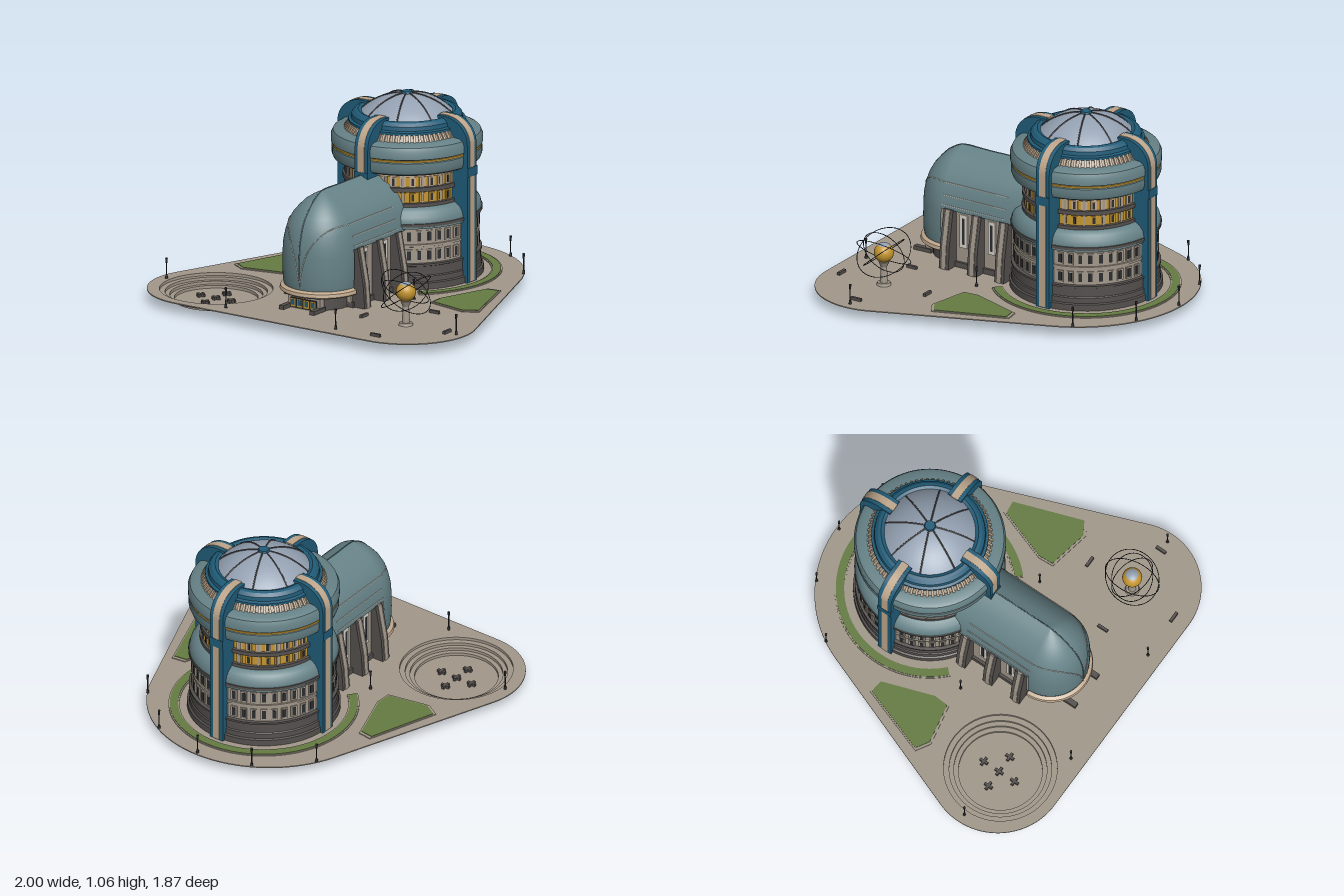
import * as THREE from 'three';
import { mergeGeometries, toCreasedNormals } from 'three/addons/utils/BufferGeometryUtils.js';

const mat = (name, color) => Object.assign(new THREE.MeshStandardMaterial({ color, side: THREE.DoubleSide }), { name });

export function createModel() {
  const stone = mat('stone', 0xa2988b), dark = mat('darkStone', 0x54504e), pale = mat('paleTrim', 0xd8d3c9);
  const teal = mat('tealCladding', 0x668287), blue = mat('blueMetal', 0x205c78), tan = mat('tanTrim', 0xbfa78c);
  const glassDome = mat('domeGlass', 0x94a1b2), gold = mat('gold', 0xc4952f), grass = mat('grass', 0x657b42);
  const iron = mat('iron', 0x2b2d31);
  const G = 0.065, TZ = -0.325, root = new THREE.Group();

  // Helpers
  const add = (name, geo, m, parent = root) => {
    const mesh = new THREE.Mesh(Array.isArray(geo) ? mergeGeometries(geo) : geo, m);
    mesh.name = name;
    parent.add(mesh);
    return mesh;
  };
  const box = (w, h, d, x = 0, y = 0, z = 0) => new THREE.BoxGeometry(w, h, d).translate(x, y, z);
  const cyl = (r0, r1, y0, y1, x = 0, z = 0, n = 16) =>
    new THREE.CylinderGeometry(r1, r0, y1 - y0, n).translate(x, (y0 + y1) / 2, z);
  const vec2 = (pts) => pts.map((p) => new THREE.Vector2(...p));
  const lathe = (pts, n = 72, start = 0, len = Math.PI * 2) =>
    toCreasedNormals(new THREE.LatheGeometry(vec2(pts), n, start, len), 0.5);
  const plate = (shape, top, depth) => new THREE.ExtrudeGeometry(shape, { depth, bevelEnabled: false, curveSegments: 32 })
    .rotateX(Math.PI / 2).translate(0, top, 0);
  const around = (n, make) => Array.from({ length: n }, (_, i) => make().rotateY(((i + 0.5) / n) * Math.PI * 2));
  const mirror = (make) => [make(1), make(-1)];

  // Plaza: rounded triangle with an opening for the bowl
  const plaza = new THREE.Shape(), tangent = 0.365;
  plaza.absarc(0, -0.275, 0.66, Math.PI + tangent, -tangent, false);
  plaza.absarc(0.63, 0.56, 0.37, -tangent, Math.PI / 2, false);
  plaza.absarc(-0.63, 0.56, 0.37, Math.PI / 2, Math.PI + tangent, false);
  plaza.holes.push(new THREE.Path().absarc(-0.62, 0.57, 0.305, 0, Math.PI * 2, true));
  add('plaza', plate(plaza, G, 0.006), stone);

  // Sunken stepped bowl with small cross-shaped seats
  const steps = [[0, 0.001]];
  [0.225, 0.25, 0.275, 0.305].forEach((r, i) => steps.push([r, 0.001 + i * 0.016], [r, 0.001 + (i + 1) * 0.016]));
  add('sunkenBowl', lathe(steps, 64).translate(-0.62, 0, 0.57), stone);
  const seats = [];
  for (const [dx, dz] of [[0, 0], [0.1, 0], [-0.1, 0], [0, 0.1], [0, -0.1]])
    seats.push(box(0.05, 0.016, 0.014, dx - 0.625, 0.01, dz + 0.565), box(0.014, 0.016, 0.05, dx - 0.625, 0.01, dz + 0.565));
  add('bowlSeats', seats, dark);

  // Lawns: a crescent around the tower and two side beds, each with a curb
  const crescent = (r0, r1, a) => {
    const s = new THREE.Shape();
    s.absarc(0, TZ, r1, Math.PI - a, Math.PI * 2 + a, false);
    s.absarc(0, TZ, r0, Math.PI * 2 + a, Math.PI - a, true);
    return s;
  };
  add('crescentCurb', plate(crescent(0.453, 0.512, 0.83), G + 0.005, 0.005), stone);
  add('crescentLawn', plate(crescent(0.46, 0.505, 0.82), G + 0.008, 0.006), grass);
  const bed = [[0.66, -0.25], [0.585, -0.24], [0.485, 0.05], [0.49, 0.135], [0.72, 0.18], [0.795, 0.135]];
  const bedShape = (s, k) => new THREE.Shape(vec2(bed.map(([x, z]) => [s * (0.63 + (x - 0.63) * k), z * k])));
  add('bedCurbs', mirror((s) => plate(bedShape(s, 1.05), G + 0.005, 0.005)), stone);
  add('bedLawns', mirror((s) => plate(bedShape(s, 0.98), G + 0.008, 0.006)), grass);

  // Tower shell, stacked as lathed bands
  const tower = new THREE.Group();
  tower.name = 'tower';
  tower.position.z = TZ;
  root.add(tower);
  add('towerBase', lathe([[0.412, G - 0.008], [0.412, 0.1], [0.402, 0.105], [0.402, 0.135], [0.396, 0.14], [0.396, 0.19], [0.403, 0.193],
    [0.403, 0.204], [0.38, 0.206]]), dark, tower);
  add('lowerWall', lathe([[0.384, 0.2], [0.384, 0.296], [0.39, 0.298], [0.39, 0.31], [0.384, 0.312], [0.384, 0.41]]), stone, tower);
  add('shoulder', lathe([[0.38, 0.395], [0.4, 0.4], [0.402, 0.43], [0.395, 0.462], [0.378, 0.488], [0.352, 0.506], [0.325, 0.51]]), teal, tower);
  add('shoulderBand', lathe([[0.4, 0.41], [0.406, 0.412], [0.406, 0.428], [0.4, 0.43]]), dark, tower);
  add('upperWall', lathe([[0.328, 0.5], [0.328, 0.7]]), gold, tower);
  add('upperBands', [lathe([[0.33, 0.505], [0.345, 0.507], [0.345, 0.526], [0.33, 0.528]]),
    lathe([[0.33, 0.588], [0.345, 0.59], [0.345, 0.614], [0.33, 0.616]])], dark, tower);
  add('upperLintel', lathe([[0.33, 0.672], [0.338, 0.673], [0.338, 0.69]]), tan, tower);
  add('overhang', lathe([[0.325, 0.688], [0.37, 0.69], [0.395, 0.703], [0.404, 0.725], [0.404, 0.765], [0.396, 0.77], [0.396, 0.782],
    [0.408, 0.787], [0.408, 0.825], [0.397, 0.85], [0.375, 0.862], [0.33, 0.865]]), teal, tower);
  add('overhangGoldLine', lathe([[0.396, 0.77], [0.403, 0.771], [0.403, 0.78], [0.396, 0.781]]), gold, tower);
  add('clerestory', lathe([[0.335, 0.85], [0.325, 0.87], [0.295, 0.905]]), stone, tower);
  add('clerestoryRibs', around(72, () => box(0.013, 0.062, 0.012).rotateX(-0.6).translate(0, 0.878, 0.322)), tan, tower);
  add('cornice', lathe([[0.28, 0.896], [0.315, 0.898], [0.315, 0.912], [0.3, 0.918], [0.297, 0.94], [0.28, 0.957], [0.262, 0.962], [0.245, 0.955]]), blue, tower);

  // Window rows: a frame with a thin dark pane
  const windows = (name, n, r, y, w, h, frame, pane) => {
    add(name + 'Frames', around(n, () => box(w, h, 0.012, 0, y, r)), frame, tower);
    add(name + 'Panes', around(n, () => box(w * pane, h * 0.75, 0.004, 0, y, r + 0.006)), iron, tower);
  };
  windows('lowerRow', 44, 0.384, 0.25, 0.036, 0.066, stone, 0.55);
  windows('middleRow', 44, 0.384, 0.355, 0.036, 0.066, stone, 0.55);
  windows('upperRow', 40, 0.328, 0.557, 0.032, 0.05, gold, 0.45);
  windows('topRow', 40, 0.328, 0.643, 0.034, 0.054, tan, 0.4);
  add('upperPilasters', around(20, () => box(0.012, 0.18, 0.016, 0, 0.6, 0.33).rotateY(Math.PI / 40)), stone, tower);

  // Glazed dome with ribs and hub
  const R = 0.3535, capY = 1.05 - R, dome = [];
  for (let i = 0; i <= 12; i++) {
    const a = 0.785 * (1 - i / 12);
    dome.push([R * Math.sin(a), capY + R * Math.cos(a)]);
  }
  add('dome', lathe(dome, 64), glassDome, tower);
  const rib = new THREE.CatmullRomCurve3(dome.map(([r, y]) => new THREE.Vector3(r, y + 0.002, 0)));
  add('domeRibs', around(8, () => new THREE.TubeGeometry(rib, 14, 0.004, 6)), dark, tower);
  add('domeHub', cyl(0.035, 0.028, 1.04, 1.06), blue, tower);

  // Four tall fins curving over the cornice, each with a tan stripe
  const fin = (bottom, off, w, angle) => {
    const s = new THREE.Shape();
    s.moveTo(0.3, bottom);
    s.lineTo(0.426 + off, bottom);
    s.lineTo(0.426 + off, 0.83);
    s.bezierCurveTo(0.426 + off, 0.9, 0.375, 0.965 + off, 0.285, 0.972 + off);
    s.lineTo(0.23 - off, 0.972 + off);
    s.lineTo(0.23 - off, 0.92);
    s.lineTo(0.3, 0.88);
    return new THREE.ExtrudeGeometry(s, { depth: w, bevelEnabled: false, curveSegments: 14 }).translate(0, 0, -w / 2).rotateY(angle);
  };
  const finAngles = [0, 1, 2, 3].map((k) => (k * Math.PI) / 2);
  const finBottom = (k) => (k === 3 ? 0.655 : G);
  add('fins', finAngles.map((a, k) => fin(finBottom(k), 0, 0.086, a)), blue, tower);
  add('finStripes', finAngles.map((a, k) => fin(finBottom(k) + 0.005, 0.003, 0.042, a)), tan, tower);
  add('finClasps', finAngles.map((a) => box(0.02, 0.05, 0.087, 0.421, 0.68, 0).rotateY(a)), blue, tower);

  // Front hall: pointed vault ending in a rounded hood
  const hall = new THREE.Group();
  hall.name = 'frontHall';
  root.add(hall);
  const AZ = 0.465;
  const profile = [[0.2, 0.16], [0.21, 0.2], [0.213, 0.28], [0.212, 0.36], [0.208, 0.42], [0.195, 0.48], [0.18, 0.525], [0.155, 0.57],
    [0.125, 0.605], [0.09, 0.64], [0.045, 0.67], [0, 0.69]];
  add('hood', new THREE.LatheGeometry(vec2(profile), 40, -Math.PI / 2, Math.PI).translate(0, 0, AZ), teal, hall);
  const side = [[0.212, 0.39], ...profile.slice(4)];
  const vault = new THREE.Shape(vec2([...side, ...side.slice(0, -1).reverse().map(([x, y]) => [-x, y])]));
  add('vault', toCreasedNormals(new THREE.ExtrudeGeometry(vault, { depth: AZ + 0.03, bevelEnabled: false }).translate(0, 0, -0.03), 0.5), teal, hall);
  add('hoodRim', lathe([[0.17, 0.143], [0.218, 0.143], [0.228, 0.152], [0.224, 0.17], [0.205, 0.18]], 40, -Math.PI / 2, Math.PI).translate(0, 0, AZ), tan, hall);
  add('hoodFloor', cyl(0.2, 0.2, 0.15, 0.4, 0, AZ - 0.01, 40), stone, hall);
  add('hallWalls', box(0.37, 0.34, 0.46, 0, 0.235, 0.23), stone, hall);
  add('hallPlinth', box(0.4, 0.03, 0.44, 0, G + 0.015, 0.24), dark, hall);

  // Thin seams along the vault and sweeping down the hood
  const onHood = (y, phi) => {
    const i = Math.max(1, profile.findIndex((p) => p[1] >= y)), [a, b] = [profile[i - 1], profile[i]];
    const r = a[0] + ((b[0] - a[0]) * (y - a[1])) / (b[1] - a[1]) + 0.001;
    return new THREE.Vector3(r * Math.sin(phi), y, AZ + r * Math.cos(phi));
  };
  const tube = (pts, r = 0.0025) => new THREE.TubeGeometry(new THREE.CatmullRomCurve3(pts), 30, r, 5);
  const sweep = [[0.22, 0.005], [0.3, 0.08], [0.38, 0.2], [0.44, 0.36], [0.49, 0.6], [0.522, 0.92], [0.53, 1.2], [0.53, 1.57]];
  add('hoodSeams', mirror((s) => tube(sweep.map(([y, p]) => onHood(y, s * p)))), pale, hall);
  add('vaultSeams', [0.412, 0.465, 0.53].flatMap((y) => mirror((s) => {
    const p = onHood(y, (s * Math.PI) / 2);
    return box(0.004, 0.004, AZ - 0.06, p.x, y, AZ / 2 + 0.03);
  })), pale, hall);
  add('ridge', tube([...profile.slice(1).map(([, y]) => onHood(y, 0)), new THREE.Vector3(0, 0.69, 0.3), new THREE.Vector3(0, 0.69, 0.08)], 0.003), teal, hall);

  // Tapered buttresses and tall slit windows
  const butt = (s, z, w, off) => new THREE.ExtrudeGeometry(new THREE.Shape(vec2([[0.17, G], [0.265 + off, G], [0.255 + off, 0.2],
    [0.218 + off, 0.395], [0.17, 0.395]].map(([x, y]) => [s * x, y]))), { depth: w, bevelEnabled: false }).translate(0, 0, z - w / 2);
  const bays = [0.06, 0.235, 0.415];
  add('buttresses', bays.flatMap((z) => mirror((s) => butt(s, z, 0.06, 0))), dark, hall);
  add('buttressFaces', bays.flatMap((z) => mirror((s) => butt(s, z, 0.025, 0.004))), stone, hall);
  const slits = (w, h, d, x) => [0.155, 0.335].flatMap((z) => mirror((s) => box(w, h, d, s * x, 0.275, z)));
  add('slitFrames', slits(0.012, 0.19, 0.048, 0.187), pale, hall);
  add('slitPanes', slits(0.008, 0.15, 0.016, 0.191), iron, hall);

  // Entrance below the hood
  add('entranceWall', cyl(0.16, 0.16, G, 0.15, 0, AZ, 32), dark, hall);
  add('portal', box(0.21, 0.075, 0.04, 0, 0.1, 0.615), stone, hall);
  add('doors', box(0.17, 0.055, 0.008, 0, 0.096, 0.636), iron, hall);
  const leaves = [-0.066, -0.022, 0.022, 0.066];
  add('doorPanels', leaves.map((x) => box(0.034, 0.044, 0.006, x, 0.096, 0.64)), gold, hall);
  add('doorGlass', leaves.map((x) => box(0.022, 0.03, 0.006, x, 0.098, 0.642)), blue, hall);
  add('entranceBlocks', mirror((s) => box(0.03, 0.022, 0.11, s * 0.1, G + 0.011, 0.65)), dark, hall);

  // Orb monument with open rings
  const orb = new THREE.Group();
  orb.name = 'orbMonument';
  orb.position.set(0.62, 0, 0.565);
  root.add(orb);
  add('pedestal', [cyl(0.04, 0.035, G, 0.08), cyl(0.022, 0.017, 0.08, 0.17), cyl(0.017, 0.03, 0.17, 0.2)], stone, orb);
  add('orb', new THREE.SphereGeometry(0.054, 28, 18).translate(0, 0.25, 0), gold, orb);
  add('orbCap', new THREE.SphereGeometry(0.0555, 28, 6, 0, Math.PI * 2, 0, 0.65).translate(0, 0.25, 0), glassDome, orb);
  const ring = (r) => new THREE.TorusGeometry(r, 0.0022, 5, 56).rotateX(Math.PI / 2);
  add('orbRings', [...mirror((s) => ring(0.155).rotateZ(s * 0.7)), ...mirror((s) => ring(0.13).rotateX(s * 0.7))]
    .map((g) => g.translate(0, 0.25, 0)), iron, orb);

  // Benches and lamp posts
  const benches = [[0.345, 0.565, 1], [0.89, 0.565, 1], [0.615, 0.29, 0], [0.615, 0.84, 0]];
  add('benches', benches.map(([x, z, t]) => box(t ? 0.016 : 0.062, 0.016, t ? 0.062 : 0.016, x, G + 0.008, z)), dark);
  const lamps = [[0, -0.92], ...[[0.31, -0.85], [0.565, -0.61], [0.95, 0.565], [0.37, 0.135], [0.36, 0.85]].flatMap(([x, z]) => [[x, z], [-x, z]])];
  add('lampPosts', lamps.flatMap(([x, z]) => [cyl(0.008, 0.006, G, 0.085, x, z, 8), cyl(0.0035, 0.003, 0.08, 0.16, x, z, 6),
    cyl(0.005, 0.007, 0.15, 0.178, x, z, 8)]), iron);
  return root;
}
